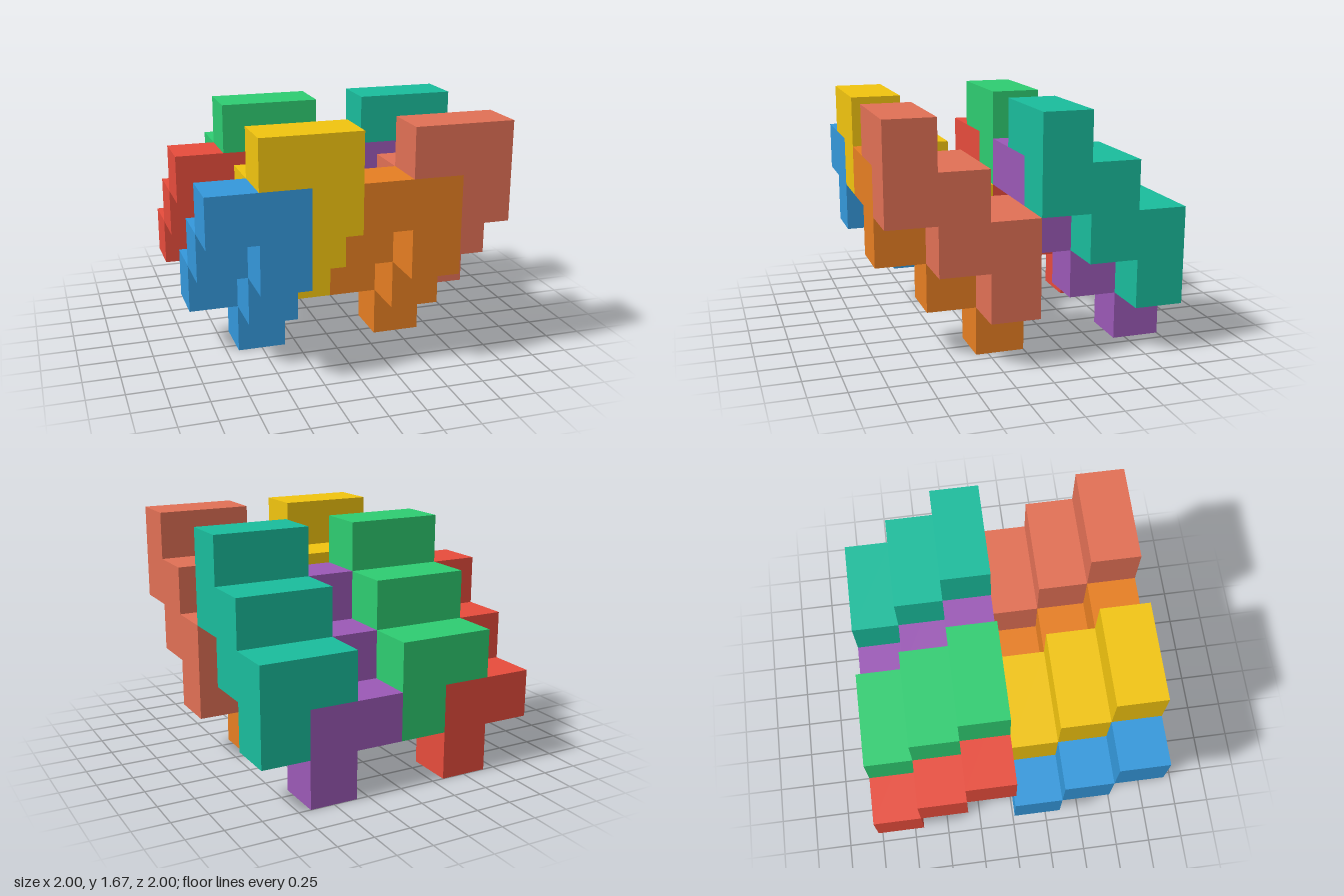
import * as THREE from 'three';

const U = 1 / 3; // edge of one cube cell

// L-shaped slice of three cells: two on top, one below the right-hand cell
function sliceGeometry() {
  const outline = [[0, 1], [1, 1], [1, 0], [2, 0], [2, 2], [0, 2]];
  const shape = new THREE.Shape(outline.map(([x, y]) => new THREE.Vector2(x * U, y * U)));
  return new THREE.ExtrudeGeometry(shape, { depth: U, bevelEnabled: false });
}

// Puzzle piece: three slices, each one cell further forward and one cell higher
function steppedPiece(name, color, geometry, x, y, z) {
  const piece = new THREE.Group();
  piece.name = name;
  const material = new THREE.MeshStandardMaterial({ color });
  for (let k = 0; k < 3; k++) {
    const slice = new THREE.Mesh(geometry, material);
    slice.name = `${name}Step${k + 1}`;
    slice.position.set(0, k * U, k * U);
    piece.add(slice);
  }
  piece.position.set(x * U, y * U, z * U);
  return piece;
}

export function createModel() {
  const model = new THREE.Group();
  model.name = 'interlockingPieces';
  const geometry = sliceGeometry();

  // Offsets of the four pieces in a row, in cells
  const offsets = [[-3, 0], [-2, 1], [0, 0], [1, 1]];
  const rows = [
    { z: 0, pieces: [['bluePiece', 0x3498db], ['yellowPiece', 0xf1c40f], ['orangePiece', 0xe67e22], ['coralPiece', 0xe17055]] },
    { z: -3, pieces: [['redPiece', 0xe74c3c], ['greenPiece', 0x2ecc71], ['purplePiece', 0x9b59b6], ['tealPiece', 0x1abc9c]] },
  ];
  for (const { z, pieces } of rows) {
    pieces.forEach(([name, color], i) => {
      model.add(steppedPiece(name, color, geometry, ...offsets[i], z));
    });
  }
  return model;
}
